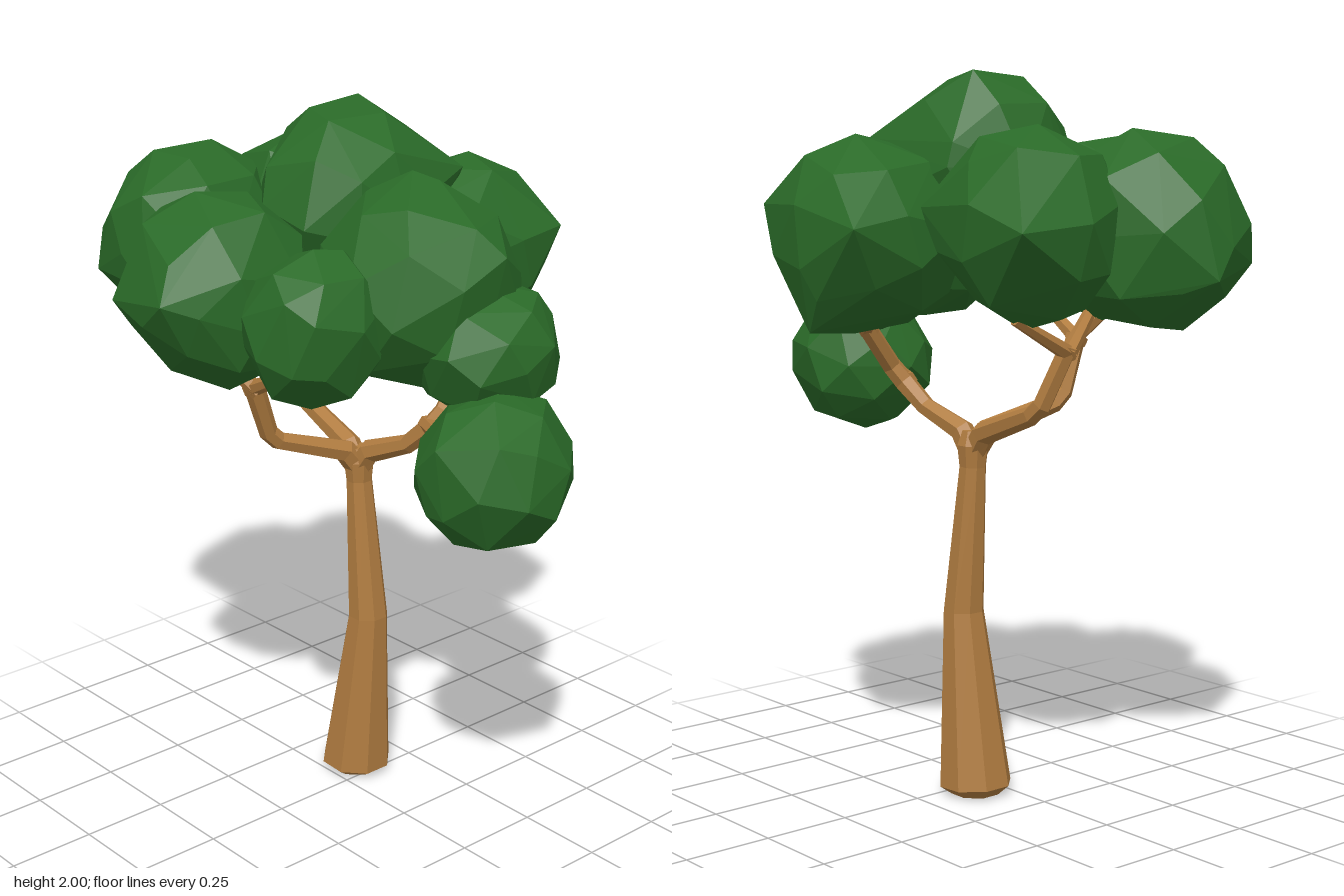
import * as THREE from 'three';
import { ConvexGeometry } from 'three/addons/geometries/ConvexGeometry.js';

const bark = new THREE.MeshStandardMaterial({ color: 0xb07c40, flatShading: true });
const leaf = new THREE.MeshStandardMaterial({ color: 0x2a6a28, flatShading: true });

// Small seeded generator for the uneven foliage
function seeded(seed) {
  let s = seed * 7919 + 17;
  return () => (s = (s * 16807) % 2147483647) / 2147483647;
}

// Faceted limb: rings of vertices along points [x, y, z, radius], closed at both ends
function limb(name, points, sides) {
  const pts = points.map(p => new THREE.Vector3(p[0], p[1], p[2]));
  const dirs = pts.slice(1).map((p, i) => p.clone().sub(pts[i]).normalize());
  const pos = [], idx = [];
  const q = new THREE.Quaternion();
  let prev = new THREE.Vector3(0, 1, 0);
  pts.forEach((p, i) => {
    const a = dirs[Math.max(i - 1, 0)], b = dirs[Math.min(i, dirs.length - 1)];
    const t = a.clone().add(b).normalize();
    q.premultiply(new THREE.Quaternion().setFromUnitVectors(prev, t));
    prev = t;
    for (let k = 0; k < sides; k++) {
      const ang = ((k + 0.5) / sides) * Math.PI * 2;
      const v = new THREE.Vector3(Math.sin(ang), 0, Math.cos(ang));
      v.multiplyScalar(points[i][3]).applyQuaternion(q).add(p);
      pos.push(v.x, v.y, v.z);
      if (i > 0) {
        const n = (k + 1) % sides, lo = (i - 1) * sides, hi = i * sides;
        idx.push(lo + k, lo + n, hi + n, lo + k, hi + n, hi + k);
      }
    }
  });
  const last = (pts.length - 1) * sides;
  for (let k = 1; k < sides - 1; k++) {
    idx.push(0, k + 1, k, last, last + k, last + k + 1);
  }
  const g = new THREE.BufferGeometry();
  g.setAttribute('position', new THREE.Float32BufferAttribute(pos, 3));
  g.setIndex(idx);
  g.computeVertexNormals();
  const mesh = new THREE.Mesh(g, bark);
  mesh.name = name;
  return mesh;
}

// Foliage clump: hull of uneven points fitted to a box (centre, half sizes), plus jutting corners
function clump(seed, name, centre, half, ...corners) {
  const rnd = seeded(seed), count = 34;
  for (let i = 0; i < 5; i++) rnd();
  const turn = new THREE.Euler(rnd() * 6, rnd() * 6, rnd() * 6);
  const pts = [];
  for (let i = 0; i < count; i++) {
    const y = 1 - (2 * (i + 0.5)) / count, r = Math.sqrt(1 - y * y), a = i * 2.39996;
    const v = new THREE.Vector3(Math.cos(a) * r, y, Math.sin(a) * r);
    v.x += (rnd() - 0.5) * 0.22;
    v.y += (rnd() - 0.5) * 0.22;
    v.z += (rnd() - 0.5) * 0.22;
    pts.push(v.normalize().multiplyScalar(0.96 + rnd() * 0.08).applyEuler(turn));
  }
  const box = new THREE.Box3().setFromPoints(pts);
  const mid = box.getCenter(new THREE.Vector3()), size = box.getSize(new THREE.Vector3());
  const origin = new THREE.Vector3(...centre), extent = new THREE.Vector3(...half).multiplyScalar(2);
  pts.forEach(p => p.sub(mid).divide(size).multiply(extent));
  corners.forEach(c => pts.push(new THREE.Vector3(...c).sub(origin)));
  const mesh = new THREE.Mesh(new ConvexGeometry(pts), leaf);
  mesh.name = name;
  mesh.position.copy(origin);
  return mesh;
}

export function createModel() {
  const tree = new THREE.Group();
  tree.name = 'tree';

  // Trunk with a chamfered foot and a slight bend
  tree.add(limb('trunk', [
    [-0.055, 0.005, -0.085, 0.07], [-0.055, 0.03, -0.085, 0.103], [-0.01, 0.52, -0.09, 0.058],
    [-0.044, 0.93, -0.085, 0.038], [-0.045, 0.99, -0.085, 0.045], [-0.045, 1.03, -0.085, 0.03],
  ], 8));

  // Three main branches, each splitting near the crown
  const branches = new THREE.Group();
  branches.name = 'branches';
  const paths = {
    rightBranch: [[-0.04, 0.96, -0.08, 0.036], [-0.09, 1.025, -0.087, 0.034], [-0.31, 1.1, -0.105, 0.027],
      [-0.345, 1.13, -0.1, 0.027], [-0.405, 1.29, -0.06, 0.026]],
    rightFrontTwig: [[-0.41, 1.265, -0.07, 0.023], [-0.29, 1.4, 0.15, 0.015]],
    rightBackTwig: [[-0.4, 1.265, -0.05, 0.023], [-0.42, 1.37, -0.26, 0.015]],
    frontBranch: [[-0.045, 0.96, -0.09, 0.036], [-0.055, 1.025, -0.04, 0.034], [-0.105, 1.09, 0.16, 0.027],
      [-0.11, 1.12, 0.19, 0.027], [-0.097, 1.275, 0.25, 0.029]],
    frontRightTwig: [[-0.08, 1.255, 0.245, 0.024], [-0.21, 1.39, 0.32, 0.015]],
    frontLeftTwig: [[-0.12, 1.255, 0.245, 0.024], [0.1, 1.36, 0.29, 0.015]],
    leftBranch: [[-0.05, 0.96, -0.085, 0.036], [-0.005, 1.025, -0.09, 0.034], [0.13, 1.08, -0.11, 0.027],
      [0.2, 1.145, -0.13, 0.03], [0.22, 1.19, -0.16, 0.028], [0.205, 1.31, -0.26, 0.027]],
    leftLowTwig: [[0.18, 1.15, -0.13, 0.024], [0.26, 1.155, -0.09, 0.022], [0.36, 1.135, -0.03, 0.017], [0.46, 1.15, 0, 0.015]],
    leftOuterTwig: [[0.19, 1.295, -0.255, 0.023], [0.34, 1.36, -0.17, 0.015]],
    leftBackTwig: [[0.22, 1.295, -0.25, 0.023], [0.09, 1.36, -0.32, 0.015]],
  };
  for (const [name, path] of Object.entries(paths)) branches.add(limb(name, path, 6));
  tree.add(branches);

  // Foliage clumps: name, centre, half sizes, then any jutting corners
  const foliage = new THREE.Group();
  foliage.name = 'foliage';
  [
    ['rightFoliage', [-0.52, 1.59, 0.12], [0.25, 0.26, 0.26],
      [-0.785, 1.47, 0.1], [-0.66, 1.5, 0.355], [-0.4, 1.5, 0.385]],
    ['backRightFoliage', [-0.42, 1.6, -0.2], [0.24, 0.26, 0.24], [-0.63, 1.6, -0.42], [-0.2, 1.65, -0.39]],
    ['topFoliage', [-0.075, 1.735, -0.07], [0.24, 0.25, 0.26], [-0.16, 2, -0.18], [0.1, 1.82, -0.33], [-0.2, 1.75, -0.3]],
    ['frontFoliage', [-0.11, 1.57, 0.36], [0.245, 0.26, 0.25], [-0.24, 1.55, 0.6], [0.01, 1.59, 0.63], [-0.365, 1.46, 0.36]],
    ['leftFoliage', [0.265, 1.59, -0.01], [0.26, 0.27, 0.27], [0.53, 1.7, -0.07], [0.2, 1.87, -0.05]],
    ['backFoliage', [0.025, 1.575, -0.375], [0.25, 0.26, 0.245], [-0.2, 1.6, -0.6], [0.26, 1.65, -0.555], [0.05, 1.32, -0.56]],
    ['frontLeftFoliage', [0.215, 1.515, 0.3], [0.175, 0.21, 0.19]],
    ['outerLeftFoliage', [0.445, 1.445, -0.085], [0.195, 0.18, 0.2]],
    ['lowLeftFoliage', [0.575, 1.17, 0.005], [0.21, 0.21, 0.207]],
  ].forEach((spec, i) => foliage.add(clump(i + 1, ...spec)));
  tree.add(foliage);

  return tree;
}
